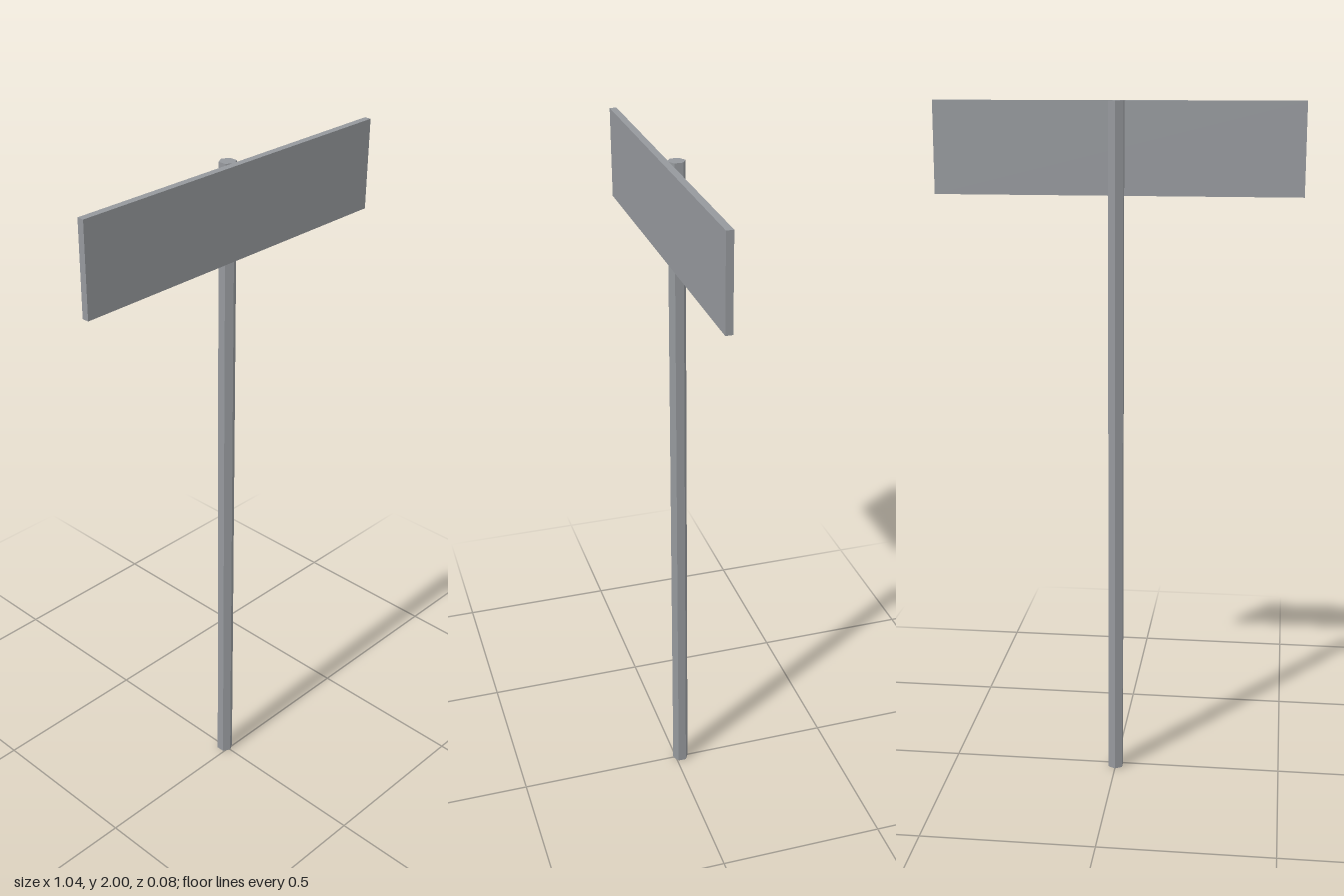
import * as THREE from 'three';

// Shift z in proportion to height, giving the sign its slight forward lean.
function lean(geometry, slope, pivotY) {
  const p = geometry.attributes.position;
  for (let i = 0; i < p.count; i++) p.setZ(i, p.getZ(i) + slope * (p.getY(i) - pivotY));
  geometry.computeVertexNormals();
  return geometry;
}

export function createModel() {
  const model = new THREE.Group();
  model.name = 'signpost';
  const metal = new THREE.MeshStandardMaterial({ color: 0x95989c, flatShading: true });
  metal.name = 'grey metal';

  // Hexagonal post, one edge facing the front
  const postGeometry = new THREE.CylinderGeometry(0.0245, 0.0245, 2, 6);
  postGeometry.translate(0, 1, -0.009);
  const post = new THREE.Mesh(lean(postGeometry, 0.007, 1), metal);
  post.name = 'post';

  // Blank sign board on the front of the post
  const boardGeometry = new THREE.BoxGeometry(1.044, 0.26, 0.02);
  boardGeometry.translate(0, 1.87, 0.028);
  const board = new THREE.Mesh(lean(boardGeometry, 0.012, 1.87), metal);
  board.name = 'signBoard';

  model.add(post, board);
  return model;
}
